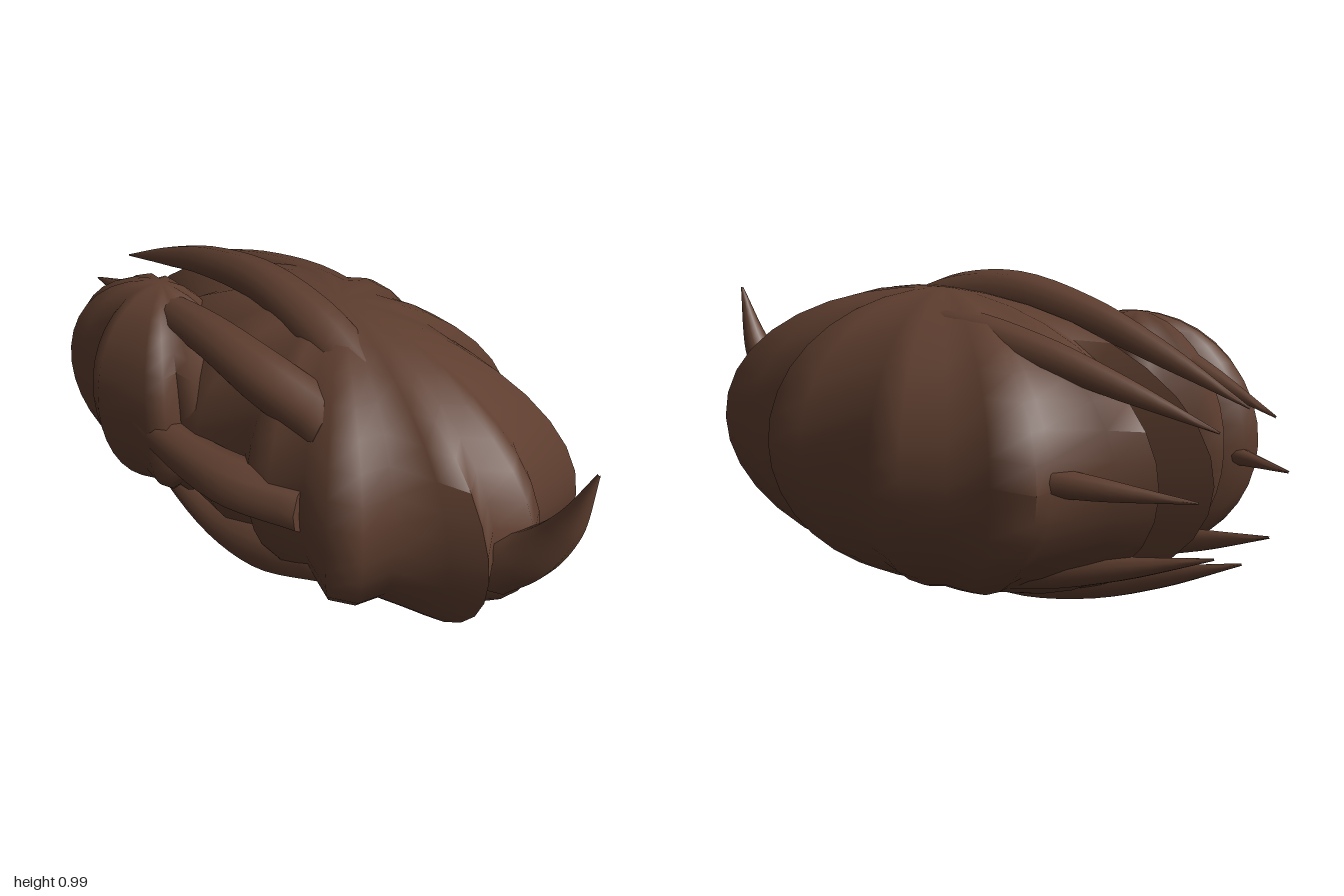
import * as THREE from 'three';
import { toCreasedNormals } from 'three/addons/utils/BufferGeometryUtils.js';

const brown = new THREE.MeshStandardMaterial({ color: 0x5e3e2f });
brown.name = 'brown';

function part(name, geometry, crease) {
  const mesh = new THREE.Mesh(toCreasedNormals(geometry, crease), brown);
  mesh.name = name;
  return mesh;
}

// Ribbed pod: a lobed plan outline [x, z] swept along a half-circle profile
function pod(name, outline, cx, cy, cz, ry) {
  const rows = 18, n = outline.length, positions = [], index = [];
  for (let j = 0; j <= rows; j++) {
    const a = Math.PI * j / rows;
    for (const [x, z] of outline) {
      positions.push(cx + (x - cx) * Math.sin(a), cy + ry * Math.cos(a), cz + (z - cz) * Math.sin(a));
    }
  }
  for (let j = 0; j < rows; j++) for (let i = 0; i < n; i++) {
    const k = (i + 1) % n;
    const a = j * n + i, b = a + n, c = (j + 1) * n + k, d = j * n + k;
    if (j > 0) index.push(a, d, c);
    if (j < rows - 1) index.push(a, c, b);
  }
  const g = new THREE.BufferGeometry();
  g.setAttribute('position', new THREE.Float32BufferAttribute(positions, 3));
  g.setIndex(index);
  return part(name, g, 1.5);
}

// Tapered tube with a closed blunt base; stations are [x, y, z, radius]
function spike(name, stations, sides) {
  const seg = 24;
  const curve = new THREE.CatmullRomCurve3(stations.map(s => new THREE.Vector3(s[0], s[1], s[2])));
  const g = new THREE.TubeGeometry(curve, seg, 1, sides);
  const pos = g.attributes.position, nor = g.attributes.normal, v = new THREE.Vector3();
  for (let i = 0; i < pos.count; i++) {
    const ring = Math.floor(i / (sides + 1));
    const u = Math.max(ring - 1, 0) / (seg - 1);
    const f = u * (stations.length - 1), k = Math.min(Math.floor(f), stations.length - 2);
    const r = ring === 0 ? 0 : THREE.MathUtils.lerp(stations[k][3], stations[k + 1][3], f - k);
    v.fromBufferAttribute(nor, i).multiplyScalar(r).add(curve.getPoint(u));
    pos.setXYZ(i, v.x, v.y, v.z);
  }
  return part(name, g, 1.0);
}

export function createModel() {
  const model = new THREE.Group();
  model.name = 'ribbedPod';

  // Large ribbed body
  model.add(pod('largeBody', [
    [0.02, -0.45], [0.17, -0.5], [0.32, -0.5], [0.38, -0.41], [0.55, -0.395], [0.71, -0.375],
    [0.71, -0.2], [0.77, -0.16], [0.83, -0.08], [0.75, 0], [0.83, 0.1], [0.72, 0.14],
    [0.57, 0.2], [0.55, 0.3], [0.46, 0.36], [0.3, 0.31], [0.2, 0.36], [0.1, 0.36],
    [0.02, 0.31], [-0.15, 0.37], [-0.3, 0.36], [-0.36, 0.28], [-0.55, 0.28], [-0.66, 0.24],
    [-0.65, 0.15], [-0.78, 0.1], [-0.91, 0.03], [-0.74, -0.02], [-0.85, -0.13], [-0.76, -0.19],
    [-0.63, -0.3], [-0.64, -0.37], [-0.5, -0.4], [-0.35, -0.41], [-0.26, -0.5], [-0.13, -0.5],
  ], 0.02, 0.485, -0.055, 0.455));

  // Small ribbed body at the front
  model.add(pod('smallBody', [
    [-0.48, 0.1], [-0.4, 0.06], [-0.33, 0.07], [-0.3, 0.13], [-0.2, 0.13], [-0.16, 0.17],
    [-0.21, 0.23], [-0.13, 0.28], [-0.15, 0.35], [-0.23, 0.36], [-0.22, 0.42], [-0.29, 0.45],
    [-0.38, 0.44], [-0.48, 0.5], [-0.56, 0.47], [-0.6, 0.42], [-0.7, 0.43], [-0.78, 0.42],
    [-0.76, 0.37], [-0.83, 0.36], [-0.82, 0.3], [-0.75, 0.25], [-0.81, 0.22], [-0.78, 0.15],
    [-0.67, 0.15], [-0.66, 0.08], [-0.56, 0.07],
  ], -0.48, 0.53, 0.24, 0.36));

  // Oval ring of eight bowed claws pointing to -x: [x, offset in y, offset in z, radius]
  const bow = [
    [0.27, 0.3, 0.235, 0.085], [0.05, 0.39, 0.33, 0.082], [-0.2, 0.43, 0.355, 0.066],
    [-0.5, 0.385, 0.33, 0.05], [-0.75, 0.305, 0.28, 0.032], [-1, 0.21, 0.21, 0.003],
  ];
  [0, 52, 90, 128, 180, 232, 270, 308].forEach((degrees, i) => {
    const a = THREE.MathUtils.degToRad(degrees);
    model.add(spike('claw' + (i + 1),
      bow.map(([x, dy, dz, r]) => [x, 0.5 + dy * Math.sin(a), 0.04 + dz * Math.cos(a), r]), 9));
  });

  // Upturned horn at the +x end
  model.add(spike('horn', [
    [0.72, 0.42, -0.05, 0.1], [0.84, 0.52, -0.06, 0.072],
    [0.93, 0.66, -0.075, 0.045], [0.995, 0.855, -0.085, 0.004],
  ], 10));

  return model;
}
